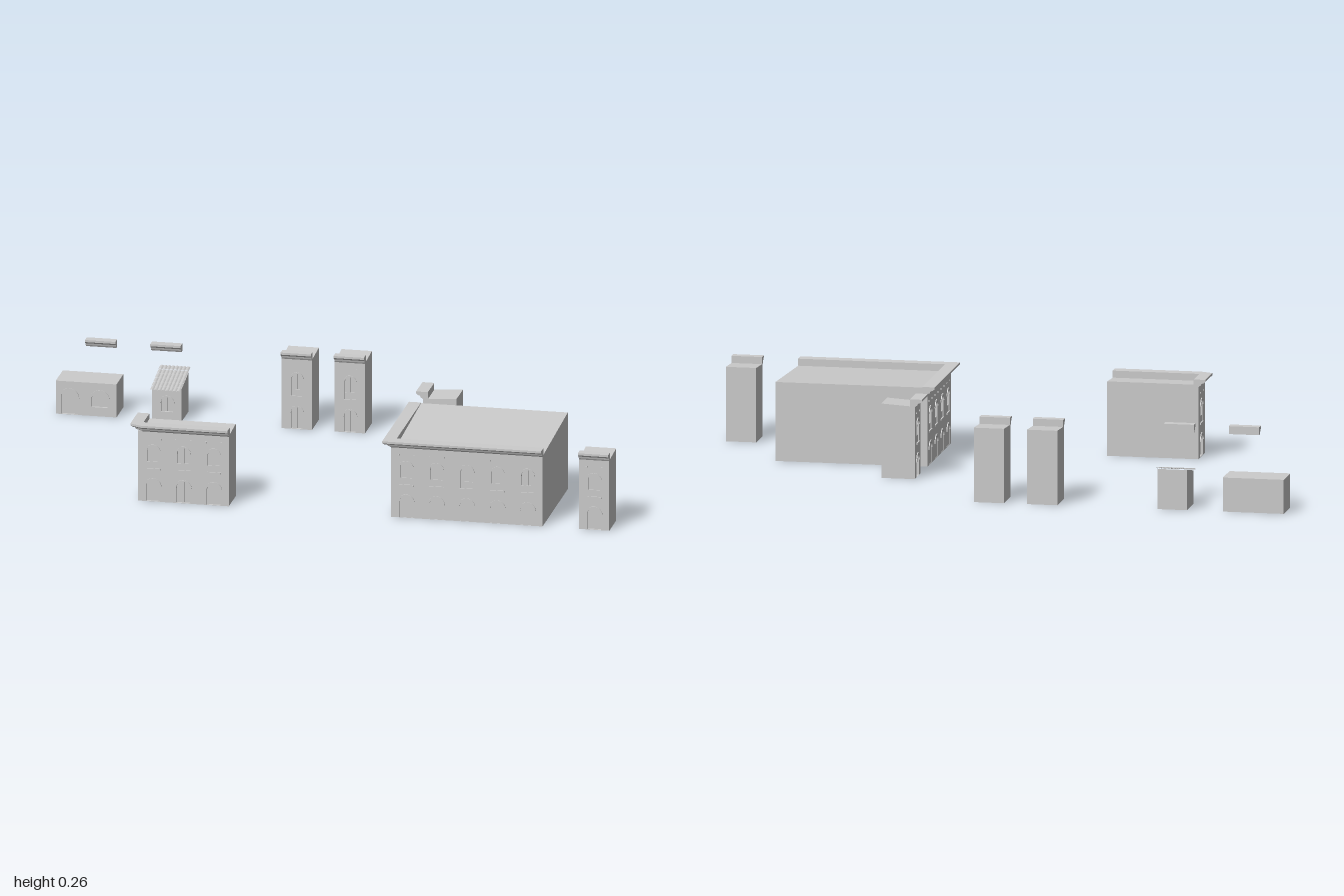
import * as THREE from 'three';

const mat = new THREE.MeshStandardMaterial({ color: 0xcccccc, flatShading: true });
const thin = new THREE.MeshStandardMaterial({ color: 0xcccccc, flatShading: true, side: THREE.DoubleSide });

function add(parent, geo, name, x = 0, y = 0, z = 0, m = mat) {
  const mesh = new THREE.Mesh(geo, m);
  mesh.name = name;
  mesh.position.set(x, y, z);
  parent.add(mesh);
  return mesh;
}

const SLAB = 0.008; // depth of the window recesses

// Box whose top follows topAt(x, z)
function slopedBox(x0, x1, z0, z1, topAt) {
  const g = new THREE.BoxGeometry(x1 - x0, 1, z1 - z0).translate((x0 + x1) / 2, 0.5, (z0 + z1) / 2);
  const p = g.attributes.position;
  for (let i = 0; i < p.count; i++) if (p.getY(i) > 0.5) p.setY(i, topAt(p.getX(i), p.getZ(i)));
  g.computeVertexNormals();
  return g;
}

// Round-headed opening outline
function arch(path, cx, y0, y1, w) {
  const r = w / 2;
  path.moveTo(cx - r, y0);
  path.lineTo(cx + r, y0);
  path.lineTo(cx + r, y1 - r);
  path.absarc(cx, y1 - r, r, 0, Math.PI, false);
  path.lineTo(cx - r, y0);
  return path;
}

const LOWER = [0.001, 0.074, 0.046];
const UPPER = [0.112, 0.188, 0.04];

// Pierced wall slab, facing local +z; openings are [centre, bottom, top, width]
function facade(parent, width, h0, h1, openings) {
  const wall = new THREE.Group();
  wall.name = 'facade';
  const shape = new THREE.Shape([[0, 0], [width, 0], [width, h1], [0, h0]].map(p => new THREE.Vector2(...p)));
  for (const o of openings) shape.holes.push(arch(new THREE.Path(), ...o));
  add(wall, new THREE.ExtrudeGeometry(shape, { depth: SLAB, bevelEnabled: false, curveSegments: 8 }), 'wall', 0, 0, -SLAB);
  for (const [cx, y0, y1, w] of openings) {
    // hood moulding over the arch
    const r = w / 2, ring = new THREE.Shape();
    ring.absarc(0, 0, r + 0.005, 0, Math.PI, false);
    ring.absarc(0, 0, r, Math.PI, 0, true);
    add(wall, new THREE.ExtrudeGeometry(ring, { depth: 0.003, bevelEnabled: false, curveSegments: 8 }), 'archMoulding', cx, y1 - r, 0);
    add(wall, new THREE.BoxGeometry(0.003, y1 - y0 - 0.002, 0.003), 'mullion', cx, (y0 + y1) / 2, -SLAB + 0.001);
    if (y0 > 0.05) {
      add(wall, new THREE.BoxGeometry(w + 0.008, 0.005, 0.004), 'sill', cx, y0 - 0.002, 0.001);
      add(wall, new THREE.BoxGeometry(w, 0.022, 0.003), 'parapetPanel', cx, y0 + 0.011, -0.004);
      for (const s of [-1, 1]) add(wall, new THREE.BoxGeometry(0.005, 0.005, 0.003), 'vent', cx + s * 0.025, 0.212, 0.001);
    }
  }
  parent.add(wall);
  return wall;
}

// Two openings per bay
function bays(n, width, shift = 0, squeeze = 1) {
  const list = [];
  for (let i = 0; i < n; i++) {
    const cx = (i + 0.5) * width / n + shift;
    for (const [a, b, w] of [LOWER, UPPER]) list.push([cx, a, b, w * squeeze]);
  }
  return list;
}

// Cornice swept along [x, z, outX, outZ] stations
const PROFILE = [[-0.012, 0.236], [0, 0.236], [0.003, 0.241], [0.006, 0.242], [0.008, 0.248],
  [0.013, 0.25], [0.018, 0.255], [0.018, 0.262], [-0.012, 0.262]];
function cornice(parent, stations, reach = 1) {
  const pos = [], n = PROFILE.length;
  const at = (s, k) => {
    const d = PROFILE[k][0] * reach;
    return [s[0] + s[2] * d, PROFILE[k][1], s[1] + s[3] * d];
  };
  for (let i = 0; i + 1 < stations.length; i++) {
    const a = stations[i], b = stations[i + 1];
    for (let k = 0; k < n; k++) {
      const l = (k + 1) % n;
      pos.push(...at(a, k), ...at(b, k), ...at(b, l), ...at(a, k), ...at(b, l), ...at(a, l));
    }
  }
  const caps = THREE.ShapeUtils.triangulateShape(PROFILE.map(p => new THREE.Vector2(...p)), []);
  for (const s of [stations[0], stations[stations.length - 1]])
    for (const t of caps) for (const k of t) pos.push(...at(s, k));
  const g = new THREE.BufferGeometry();
  g.setAttribute('position', new THREE.Float32BufferAttribute(pos, 3));
  g.computeVertexNormals();
  add(parent, g, 'cornice', 0, 0, 0, thin);
}

const straight = (x0, x1, z) => [[x1, z, 0, 1], [x0, z, 0, 1]];

function part(root, name) {
  const g = new THREE.Group();
  g.name = name;
  root.add(g);
  return g;
}

// Single-bay tower facing +z
function tower(root, name, x, front, back, shift, squeeze) {
  const g = part(root, name);
  add(g, slopedBox(x, x + 0.1, back, front - SLAB, (_, z) => 0.245 - 0.007 * (z - back) / (front - back)), 'body');
  facade(g, 0.1, 0.238, 0.238, bays(1, 0.1, shift, squeeze)).position.set(x, 0, front);
  cornice(g, straight(x, x + 0.1, front));
}

export function createModel() {
  const root = new THREE.Group();
  root.name = 'buildingKit';

  // Large block with two decorated sides
  const block = part(root, 'largeBlock');
  const roofY = z => 0.238 + 0.022 * (0.475 - z) / 0.4;
  const shell = slopedBox(0.28 + SLAB, 0.78, 0.075, 0.475 - SLAB, (_, z) => roofY(z));
  const idx = Array.from(shell.index.array);
  idx.splice(18, 6); // open underside
  shell.setIndex(idx);
  shell.clearGroups();
  add(block, shell, 'body');
  facade(block, 0.5, 0.238, 0.238, bays(5, 0.5)).position.set(0.28, 0, 0.475);
  const side = facade(block, 0.4, 0.26, 0.238, bays(4, 0.4));
  side.rotation.y = -Math.PI / 2;
  side.position.set(0.28, 0, 0.075);
  cornice(block, [[0.78, 0.475, 0, 1], [0.28, 0.475, -1, 1], [0.28, 0.075, -1, 0]], 1.35);
  // stepped opening in the underside
  [0.1, 0.15].forEach((inset, i) => {
    const rect = (d, T) => new T([[d, d], [0.5 - d, d], [0.5 - d, 0.4 - d], [d, 0.4 - d]].map(p => new THREE.Vector2(...p)));
    const s = rect(0.002, THREE.Shape);
    s.holes.push(rect(inset, THREE.Path));
    const g = new THREE.ExtrudeGeometry(s, { depth: 0.04, bevelEnabled: false }).rotateX(Math.PI / 2);
    add(block, g, 'floorRing', 0.28, 0.04 * (i + 1), 0.075);
  });

  // Corner house, three bays plus one on its right side
  const corner = part(root, 'cornerHouse');
  add(corner, slopedBox(-0.555 + SLAB, -0.255, 0.365, 0.475 - SLAB, (_, z) => 0.245 - 0.007 * (z - 0.365) / 0.11), 'body');
  facade(corner, 0.3, 0.238, 0.238, bays(3, 0.3)).position.set(-0.555, 0, 0.475);
  const end = facade(corner, 0.11, 0.245, 0.238, bays(1, 0.11));
  end.rotation.y = -Math.PI / 2;
  end.position.set(-0.555, 0, 0.365);
  cornice(corner, [[-0.255, 0.475, 0, 1], [-0.54, 0.475, 0, 1], [-0.555, 0.465, -1, 0.7], [-0.555, 0.365, -1, 0]], 1.3);

  // Narrow towers
  tower(root, 'frontTower', 0.9, 0.475, 0.365, 0, 1);
  tower(root, 'rearTowerA', -0.255, -0.362, -0.472, 0, 0.85);
  tower(root, 'rearTowerB', -0.08, -0.362, -0.472, 0, 0.85);

  // Tower facing -x
  const sideTower = part(root, 'sideTower');
  add(sideTower, slopedBox(0.28 + SLAB, 0.39, -0.135, -0.035, x => 0.238 + 0.007 * (x - 0.28) / 0.11), 'body');
  const sideWall = facade(sideTower, 0.1, 0.238, 0.238, bays(1, 0.1));
  sideWall.rotation.y = -Math.PI / 2;
  sideWall.position.set(0.28, 0, -0.135);
  cornice(sideTower, [[0.28, -0.035, -1, 0], [0.28, -0.135, -1, 0]], 1.3);

  // Low annex with its separate cornice piece
  const annex = part(root, 'lowAnnex');
  add(annex, slopedBox(-1, -0.8, -0.472, -0.362 - SLAB, () => 0.112), 'body');
  facade(annex, 0.2, 0.112, 0.112, [[0.045, 0.001, 0.084, 0.055], [0.145, 0.03, 0.084, 0.055]]).position.set(-1, 0, -0.362);
  cornice(annex, straight(-0.9, -0.8, -0.362));

  // Shed with a tiled lean-to roof and its separate cornice piece
  const shed = part(root, 'tiledShed');
  add(shed, slopedBox(-0.682, -0.585, -0.472, -0.362 - SLAB, (_, z) => 0.11 + 0.2 * (-0.362 - z)), 'body');
  facade(shed, 0.097, 0.11, 0.11, [[0.0485, 0.03, 0.08, 0.04]]).position.set(-0.682, 0, -0.362);
  cornice(shed, straight(-0.685, -0.585, -0.362));
  const rows = 6, len = 0.165 / rows;
  for (let r = 0; r < rows; r++) {
    const g = new THREE.PlaneGeometry(0.1, len + 0.002, 40, 1).rotateX(-Math.PI / 2);
    const p = g.attributes.position;
    for (let i = 0; i < p.count; i++) {
      const wave = 0.003 * Math.abs(Math.sin((p.getX(i) / 0.1 + 0.5) * Math.PI * 8));
      p.setY(i, wave - p.getZ(i) * 0.12);
    }
    g.computeVertexNormals();
    const z = -0.336 - (r + 0.5) * len;
    add(shed, g, 'roofTiles', -0.635, 0.108 + 0.2 * (-0.336 - z), z, thin);
  }
  return root;
}
